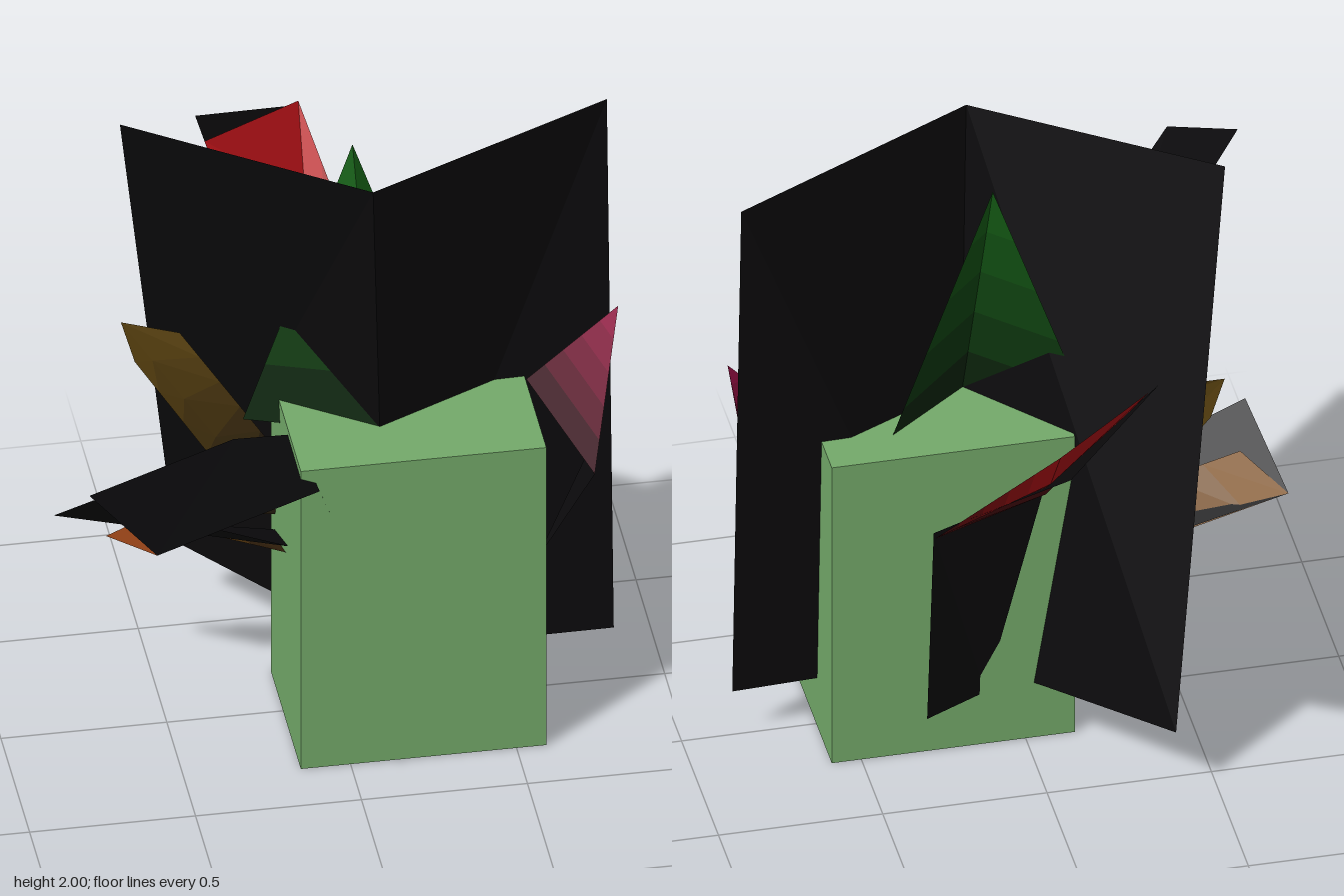
import * as THREE from 'three';

const BLACK = 0x0b0a0c;

// Flat surface lofted through rows of points (every row has the same count)
function sheet(name, rows, color) {
  const pos = [];
  for (let i = 0; i + 1 < rows.length; i++) {
    for (let j = 0; j + 1 < rows[i].length; j++) {
      const [a, b, c, d] = [rows[i][j], rows[i][j + 1], rows[i + 1][j + 1], rows[i + 1][j]];
      pos.push(...a, ...d, ...b, ...b, ...d, ...c);
    }
  }
  const geo = new THREE.BufferGeometry();
  geo.setAttribute('position', new THREE.Float32BufferAttribute(pos, 3));
  geo.computeVertexNormals();
  const mat = new THREE.MeshStandardMaterial({ color, side: THREE.DoubleSide });
  const mesh = new THREE.Mesh(geo, mat);
  mesh.name = name;
  return mesh;
}

// Leaf surface whose colour darkens in bands from tip to base
function fadedLeaf(name, tip, base, color, bands = 5) {
  const group = new THREE.Group();
  group.name = name;
  const rowAt = (t) => tip.map((p, i) => p.map((v, k) => v + (base[i][k] - v) * t));
  for (let i = 0; i < bands; i++) {
    const shade = new THREE.Color(color).lerp(new THREE.Color(BLACK), (i + 0.3) / bands);
    group.add(sheet(name + 'Band', [rowAt(i / bands), rowAt((i + 1) / bands)], shade));
  }
  return group;
}

export function createModel() {
  const model = new THREE.Group();
  model.name = 'plantInPot';

  // Pot: box with an open underside
  const [w, h, d] = [0.74, 1.07, 0.52];
  const potGeo = new THREE.BoxGeometry(w, h, d).toNonIndexed();
  for (const key of ['position', 'normal', 'uv']) {
    const attr = potGeo.getAttribute(key);
    const keep = Array.from(attr.array);
    keep.splice(18 * attr.itemSize, 6 * attr.itemSize);
    potGeo.setAttribute(key, new THREE.Float32BufferAttribute(keep, attr.itemSize));
  }
  potGeo.clearGroups();
  const pot = new THREE.Mesh(potGeo, new THREE.MeshStandardMaterial({ color: 0x74aa6a, side: THREE.DoubleSide }));
  pot.name = 'pot';
  pot.position.set(0.22, h / 2, 0.05);
  model.add(pot);

  // Tall folded leaf rising through the pot
  model.add(sheet('tallLeaf', [
    [[-0.6, 2, -0.24], [0.08, 2, 0.24], [0.85, 1.99, -0.14]],
    [[-0.37, 0.23, -0.6], [0.16, 0.18, 0], [0.85, 0.17, -0.02]],
  ], BLACK));

  // Pointed green leaf folded along its middle, behind the tall leaf
  const apex = [0.08, 1.93, -0.12];
  model.add(fadedLeaf('greenLeaf', [apex, apex, apex],
    [[-0.25, 0.98, -0.12], [0.12, 1.05, 0.12], [0.41, 0.97, -0.08]], 0x156016));

  // Back leaf: hanging stem, bend and raised blade
  const bendL = [-0.05, 0.92, -0.24], bendR = [0.3, 0.85, -0.3];
  model.add(sheet('backLeaf', [
    [[-0.28, 1.63, -0.78], [0.04, 1.48, -1]],
    [bendL, bendR],
    [[0.12, 0.18, -0.2], [0.32, 0.18, -0.3]],
  ], BLACK));

  // Red lining of the back leaf with its turned-up tip
  const redA = [-0.26, 1.57, -0.73], redB = [0.05, 1.31, -0.77], redC = [0.06, 1.53, -0.95];
  const lowL = [-0.05, 0.91, -0.26], lowR = [0.3, 0.84, -0.315];
  model.add(fadedLeaf('redLining', [redA, redB], [lowL, lowR], 0xc01318));
  model.add(fadedLeaf('redEdge', [redC, redB], [lowR, lowR], 0xc01318));
  model.add(sheet('redTip', [[redA, redC], [redB, redB]], 0xb01216));

  // Small pink leaf on the left side
  const pinkTip = [0.86, 1.34, 0], pinkMid = [0.76, 0.86, 0.17], pinkInner = [0.79, 0.92, 0.04];
  model.add(fadedLeaf('pinkLeaf', [pinkTip, pinkTip, pinkTip],
    [[0.59, 1.08, -0.04], pinkMid, pinkInner], 0x981045));
  model.add(sheet('pinkLeafStem', [[pinkMid, pinkInner], [[0.6, 0.49, 0.06], [0.6, 0.49, 0.06]]], BLACK));

  // Long front leaf bending over the pot edge
  const frontTip = [-0.7, 1.29, 0.99], frontBend = [-0.1, 1.02, 0.35];
  model.add(sheet('frontLeaf', [
    [[-0.87, 1.39, 0.79], frontTip],
    [[-0.33, 1.12, 0.18], frontBend],
    [[-0.13, 1.04, 0.07], [-0.04, 0.85, 0.31]],
  ], BLACK));
  model.add(fadedLeaf('orangeLining', [[-0.82, 1.24, 0.79], frontTip],
    [[-0.27, 1.02, 0.19], frontBend], 0xa0481a));

  // Low leaf on the right side
  const lowTip = [-0.82, 0.7, -0.12];
  model.add(sheet('lowLeaf', [
    [[-0.74, 0.9, 0.11], lowTip],
    [[-0.14, 0.65, 0.09], [-0.14, 0.55, -0.15]],
  ], BLACK));
  model.add(fadedLeaf('amberLining', [[-0.7, 0.79, 0], lowTip],
    [[-0.14, 0.6, 0.05], [-0.14, 0.53, -0.14]], 0x85560f));

  // Brown leaf between the tall leaf and the pot
  model.add(fadedLeaf('brownLeaf',
    [[-0.42, 1.23, -0.24], [-0.59, 1.26, -0.28], [-0.55, 1.12, -0.27]],
    [[-0.14, 0.85, -0.1], [-0.14, 0.62, -0.13], [-0.2, 0.6, -0.17]], 0x5a420f));

  return model;
}
